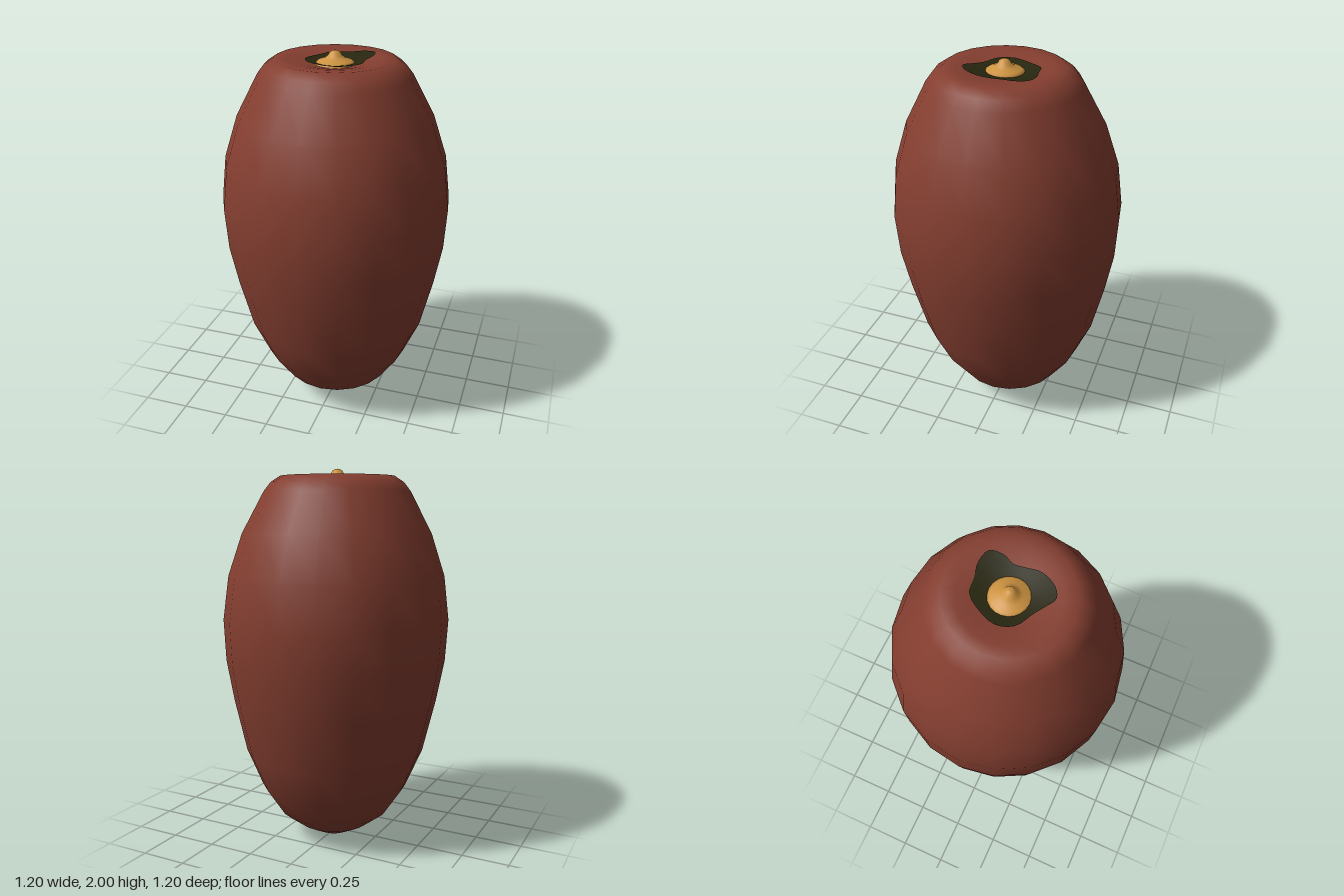
import * as THREE from 'three';

const skin = new THREE.MeshStandardMaterial({ color: 0x843e30 });
skin.name = 'reddish brown skin';
const calyxGreen = new THREE.MeshStandardMaterial({ color: 0x27260f, side: THREE.DoubleSide });
calyxGreen.name = 'dark calyx';
const ochre = new THREE.MeshStandardMaterial({ color: 0xcd9340 });
ochre.name = 'ochre stem';

// Lathe from [radius, height] pairs listed from bottom to top
function lathe(name, points, segments, material) {
  const profile = points.map(([r, y]) => new THREE.Vector2(r, y));
  const mesh = new THREE.Mesh(new THREE.LatheGeometry(profile, segments), material);
  mesh.name = name;
  return mesh;
}

// Height of the shallow hollow in the top of the fruit
const hollow = r => 1.925 + 0.035 * THREE.MathUtils.smoothstep(r, 0.03, 0.26);

export function createModel() {
  const group = new THREE.Group();
  group.name = 'fruit';

  // Egg-shaped body, leaning slightly forwards at the top
  const rim = [0.24, 0.18, 0.12, 0.06, 0].map(r => [r, hollow(r)]);
  const body = lathe('fruitBody', [
    [0, 0.003], [0.1, 0.022], [0.2, 0.075], [0.3, 0.15], [0.4, 0.3], [0.485, 0.5],
    [0.55, 0.78], [0.59, 1], [0.602, 1.22], [0.573, 1.45], [0.5, 1.67],
    [0.385, 1.885], [0.35, 1.93], [0.3, 1.963], ...rim,
  ], 20, skin);
  const p = body.geometry.attributes.position;
  for (let i = 0; i < p.count; i++) p.setZ(i, p.getZ(i) + 0.02 * (p.getY(i) - 1));
  group.add(body);

  // Thin ragged calyx lying in the hollow, outline as [x, z]
  const outline = [
    [-0.15, 0.02], [-0.12, 0.1], [-0.04, 0.145], [0.01, 0.18], [0.06, 0.21], [0.115, 0.18],
    [0.155, 0.1], [0.15, 0.03], [0.145, -0.03], [0.165, -0.08], [0.155, -0.15], [0.085, -0.17],
    [0.01, -0.155], [-0.06, -0.145], [-0.11, -0.085],
  ];
  const curve = new THREE.CatmullRomCurve3(
    outline.map(([x, z]) => new THREE.Vector3(x, 0, z)), true);
  const sides = 48, rings = 5, verts = [], index = [];
  for (let j = 0; j <= rings; j++) {
    for (let i = 0; i < sides; i++) {
      const v = curve.getPoint(i / sides).multiplyScalar(j / rings);
      verts.push(v.x, hollow(Math.hypot(v.x, v.z)) + 0.009, v.z);
      if (j === rings) continue;
      const a = j * sides + i, b = j * sides + (i + 1) % sides;
      index.push(a, a + sides, b + sides, a, b + sides, b);
    }
  }
  const leaf = new THREE.BufferGeometry();
  leaf.setAttribute('position', new THREE.Float32BufferAttribute(verts, 3));
  leaf.setIndex(index);
  leaf.computeVertexNormals();
  const calyx = new THREE.Mesh(leaf, calyxGreen);
  calyx.name = 'calyx';
  group.add(calyx);

  // Pointed stem stub
  const stem = lathe('stemStub', [
    [0.1, 1.915], [0.1, 1.938], [0.085, 1.95], [0.055, 1.96], [0.036, 1.973],
    [0.026, 1.99], [0.012, 1.998], [0, 2],
  ], 20, ochre);
  stem.position.z = 0.02;
  group.add(stem);

  return group;
}
